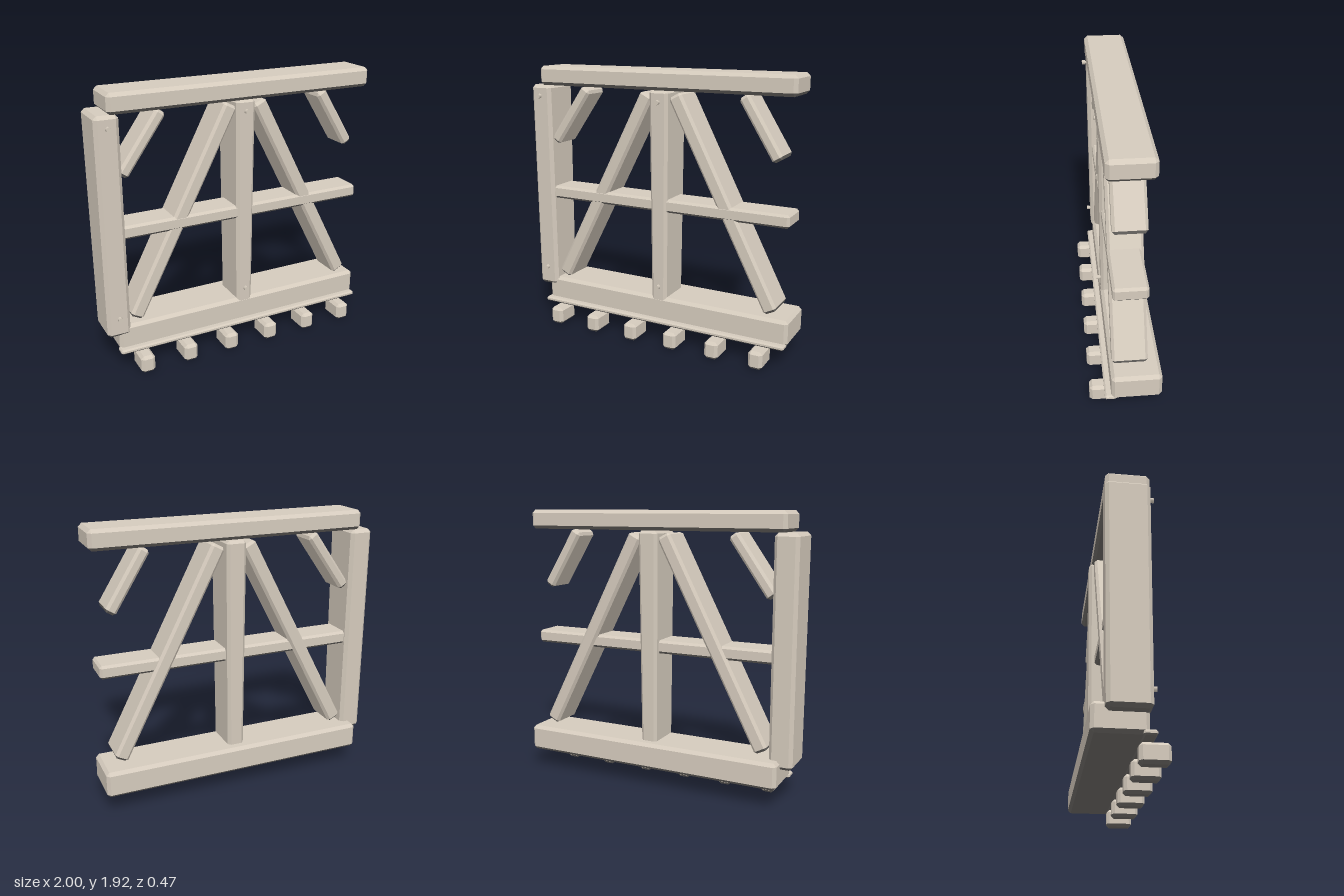
import * as THREE from 'three';
import { ConvexGeometry } from 'three/addons/geometries/ConvexGeometry.js';

const wood = new THREE.MeshStandardMaterial({ color: 0xd5cbbd });
wood.name = 'weathered wood';
const darkWood = new THREE.MeshStandardMaterial({ color: 0x726f6b });
darkWood.name = 'dark underside wood';

// Box with every edge chamfered by c; the lower end can be narrowed in x and z.
// Faces pointing down form a second group for the dark wood.
function chamferBox(w, h, d, c, taperX = 1, taperZ = 1) {
  const points = [];
  for (const sx of [-1, 1]) for (const sy of [-1, 1]) for (const sz of [-1, 1]) {
    const tx = sy < 0 ? taperX : 1;
    const tz = sy < 0 ? taperZ : 1;
    for (let full = 0; full < 3; full++) {
      points.push(new THREE.Vector3(
        sx * (w / 2 * tx - (full === 0 ? 0 : c)),
        sy * (h / 2 - (full === 1 ? 0 : c)),
        sz * (d / 2 * tz - (full === 2 ? 0 : c))));
    }
  }
  const geometry = new ConvexGeometry(points);
  const normal = geometry.attributes.normal;
  const upper = [];
  const lower = [];
  for (let i = 0; i < normal.count; i += 3) {
    (normal.getY(i) < -0.55 ? lower : upper).push(i, i + 1, i + 2);
  }
  geometry.setIndex([...upper, ...lower]);
  geometry.addGroup(0, upper.length, 0);
  geometry.addGroup(upper.length, lower.length, 1);
  return geometry;
}

export function createModel() {
  const model = new THREE.Group();
  model.name = 'timberFrame';

  function add(name, geometry, material, x, y, z) {
    const mesh = new THREE.Mesh(geometry, material);
    mesh.name = name;
    mesh.position.set(x, y, z);
    model.add(mesh);
    return mesh;
  }

  // Beam given by its limits on each axis
  function beam(name, [x0, x1], [y0, y1], [z0, z1], c, taperX, taperZ) {
    add(name, chamferBox(x1 - x0, y1 - y0, z1 - z0, c, taperX, taperZ), [wood, darkWood],
      (x0 + x1) / 2, (y0 + y1) / 2, (z0 + z1) / 2);
  }

  // Slanted beam between the centres of its two ends, lower end first
  function brace(name, [x0, y0], [x1, y1], width, [z0, z1]) {
    const length = Math.hypot(x1 - x0, y1 - y0);
    const mesh = add(name, chamferBox(width, length, z1 - z0, 0.018), [wood, darkWood],
      (x0 + x1) / 2, (y0 + y1) / 2, (z0 + z1) / 2);
    mesh.rotation.z = -Math.atan2(x1 - x0, y1 - y0);
  }

  // Horizontal timbers
  beam('topBeam', [-0.915, 1], [1.787, 1.922], [-0.158, 0.132], 0.023);
  beam('sillBeam', [-0.918, 0.998], [0.135, 0.32], [-0.235, 0.098], 0.022);
  beam('sillStrip', [-0.925, 0.99], [0.127, 0.16], [0.06, 0.14], 0.01);
  beam('middleRail', [-0.87, 0.975], [0.948, 1.04], [-0.132, 0.09], 0.016);

  // Posts, slightly narrower at the foot
  beam('sidePost', [-1, -0.838], [0.258, 1.787], [-0.168, 0.122], 0.023, 1, 0.92);
  beam('centrePost', [-0.032, 0.108], [0.268, 1.787], [-0.18, 0.108], 0.02, 0.84, 0.92);

  // Long and short braces
  brace('longBraceRight', [-0.785, 0.355], [-0.06, 1.757], 0.1, [-0.148, 0.088]);
  brace('longBraceLeft', [0.872, 0.355], [0.148, 1.757], 0.1, [-0.148, 0.088]);
  brace('shortBraceRight', [-0.828, 1.377], [-0.55, 1.77], 0.078, [-0.125, 0.088]);
  brace('shortBraceLeft', [0.885, 1.377], [0.637, 1.775], 0.078, [-0.125, 0.088]);

  // Joist ends under the sill
  for (let i = 0; i < 6; i++) {
    beam('joistEnd', [-0.818 + i * 0.319, -0.718 + i * 0.319], [0, 0.127], [0.05, 0.235], 0.02);
  }

  // Hexagonal pegs through the posts
  const shaft = new THREE.CylinderGeometry(0.011, 0.011, 0.06, 6).rotateX(Math.PI / 2);
  const head = new THREE.CylinderGeometry(0.017, 0.017, 0.024, 6).rotateX(Math.PI / 2);
  for (const [x, y, z] of [[-0.918, 1.707, 0.152], [-0.916, 0.4, 0.14],
    [0.038, 1.707, 0.13], [0.041, 0.4, 0.125]]) {
    add('pegShaft', shaft, wood, x, y, z - 0.035);
    add('pegHead', head, wood, x, y, z - 0.012);
  }
  return model;
}
